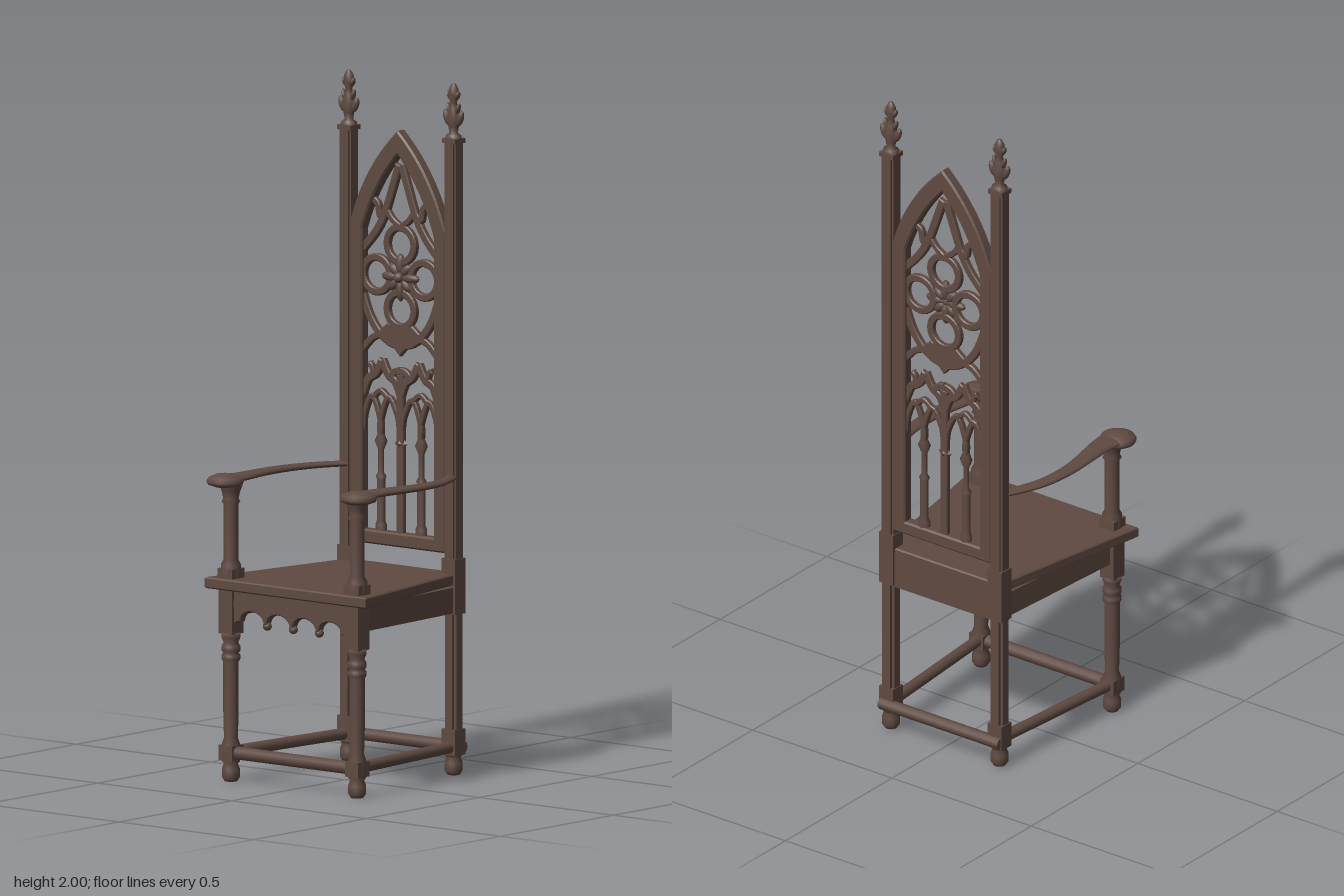
import * as THREE from 'three';

export function createModel() {
  const chair = new THREE.Group();
  chair.name = 'gothicArmchair';
  const wood = new THREE.MeshStandardMaterial({ name: 'darkWood', color: 0x5f4a41 });
  wood.side = THREE.DoubleSide;
  const V2 = (a) => new THREE.Vector2(a[0], a[1]);
  const V3 = (a) => new THREE.Vector3(...a);

  const add = (name, geo, x = 0, y = 0, z = 0, parent = chair) => {
    const m = new THREE.Mesh(geo, wood);
    m.name = name;
    m.position.set(x, y, z);
    parent.add(m);
    return m;
  };
  const box = (name, w, h, d, x, y, z) => add(name, new THREE.BoxGeometry(w, h, d), x, y, z);
  const lathe = (pts, n = 20) => new THREE.LatheGeometry(pts.map(V2), n);
  // bar running between two points, square or round
  const bar = (name, a, b, w, h, round) => {
    const p = V3(a), q = V3(b), len = p.distanceTo(q);
    const geo = round ? new THREE.CylinderGeometry(w / 2, w / 2, len, 12).rotateX(Math.PI / 2)
      : new THREE.BoxGeometry(w, h, len);
    const m = add(name, geo);
    m.position.copy(p).add(q).multiplyScalar(0.5);
    m.lookAt(q);
    return m;
  };
  const extrude = (shape, depth, bevel = 0) => new THREE.ExtrudeGeometry(shape, {
    depth, curveSegments: 14, bevelEnabled: bevel > 0,
    bevelSize: bevel, bevelThickness: bevel, bevelOffset: -bevel, bevelSegments: 1,
  });

  // ---- seat and aprons
  const seatShape = new THREE.Shape([[-0.3, 0.265], [0.3, 0.265], [0.213, -0.228], [0.172, -0.228],
    [0.172, -0.265], [-0.172, -0.265], [-0.172, -0.228], [-0.213, -0.228]].map(V2));
  add('seat', extrude(seatShape, 0.024, 0.004).rotateX(Math.PI / 2), 0, 0.583, 0);
  box('backApron', 0.36, 0.11, 0.028, 0, 0.52, -0.252);

  const apron = new THREE.Shape();
  apron.moveTo(-0.215, 0.558);
  apron.lineTo(-0.215, 0.455);
  apron.lineTo(-0.197, 0.465);
  for (let i = 0; i < 4; i++) {
    const c = -0.1455 + i * 0.097;
    apron.lineTo(c - 0.043, 0.465);
    apron.absellipse(c, 0.465, 0.043, 0.033, Math.PI, 0, true);
  }
  apron.lineTo(0.197, 0.465);
  apron.lineTo(0.215, 0.455);
  apron.lineTo(0.215, 0.558);
  add('scallopedApron', extrude(apron, 0.02, 0.003), 0, 0, 0.218);
  box('apronMoulding', 0.42, 0.018, 0.008, 0, 0.515, 0.24);
  for (let i = -1; i <= 1; i++) add('apronPendant', new THREE.SphereGeometry(0.013, 10, 8), i * 0.097, 0.461, 0.228);

  // ---- profiles shared by both sides
  const legProfile = [[0, 0], [0.018, 0], [0.026, 0.012], [0.026, 0.035], [0.02, 0.05], [0.026, 0.058],
    [0.026, 0.108], [0.02, 0.125], [0.022, 0.2], [0.022, 0.345], [0.027, 0.352], [0.027, 0.364], [0.022, 0.37],
    [0.027, 0.377], [0.027, 0.39], [0.021, 0.4], [0.027, 0.415], [0.027, 0.43], [0.0, 0.43]];
  const armPostProfile = [[0.029, 0.585], [0.029, 0.625], [0.021, 0.64], [0.021, 0.8], [0.027, 0.807],
    [0.022, 0.816], [0.026, 0.835], [0.034, 0.856]];
  const knobProfile = [[0, 0.849], [0.03, 0.85], [0.05, 0.857], [0.054, 0.866], [0.048, 0.876], [0.028, 0.885], [0, 0.888]];
  const finialProfile = [[0.024, 1.838], [0.024, 1.85], [0.013, 1.857], [0.016, 1.875], [0.022, 1.9], [0.014, 1.93],
    [0.01, 1.945], [0.018, 1.965], [0.014, 1.985], [0.007, 1.998], [0, 2]];

  // notched square section for the back posts
  const postGeo = (w, d, n, h) => {
    const a = w / 2, b = d / 2;
    const pts = [[a, b - n], [a - n, b - n], [a - n, b]];
    const quad = [...pts, ...pts.map(([x, y]) => [-x, y]).reverse()];
    const all = [...quad, ...quad.map(([x, y]) => [-x, -y])];
    return extrude(new THREE.Shape(all.map(V2)), h).rotateX(-Math.PI / 2);
  };

  for (const s of [1, -1]) {
    // front leg and arm post
    const fx = s * 0.235, fz = 0.225, bx = s * 0.195, bz = -0.25;
    add('frontLeg', lathe(legProfile), fx, 0, fz);
    box('frontLegBlock', 0.05, 0.13, 0.05, fx, 0.492, fz);
    box('frontLegJoint', 0.05, 0.044, 0.05, fx, 0.083, fz);
    add('armPost', lathe(armPostProfile), fx, 0, fz);
    box('armPostBase', 0.055, 0.03, 0.055, fx, 0.6, fz);
    add('armKnob', lathe(knobProfile, 28), s * 0.248, 0, 0.235);

    // curved arm, widening towards the front
    const path = new THREE.CatmullRomCurve3([[0.19, 0.864, -0.25], [0.222, 0.865, -0.19], [0.25, 0.866, -0.11],
      [0.26, 0.868, -0.01], [0.254, 0.87, 0.08], [0.245, 0.871, 0.16], [0.246, 0.871, 0.235]]
      .map(([x, y, z]) => new THREE.Vector3(s * x, y, z)));
    const N = 32, R = 14;
    const arm = new THREE.TubeGeometry(path, N, 1, R);
    const p = arm.attributes.position;
    for (let i = 0; i <= N; i++) {
      const t = i / N, c = path.getPointAt(t);
      const w = 0.018 + 0.008 * t + 0.018 * t ** 4, h = 0.008 + 0.004 * t;
      for (let j = 0; j <= R; j++) {
        const k = i * (R + 1) + j;
        p.setXYZ(k, c.x + (p.getX(k) - c.x) * w, c.y + (p.getY(k) - c.y) * h, c.z + (p.getZ(k) - c.z) * w);
      }
    }
    arm.computeVertexNormals();
    add('arm', arm);

    // back post with its foot and heavier lower part
    add('backPost', postGeo(0.043, 0.043, 0.006, 1.24), bx, 0.6, bz);
    add('backLeg', postGeo(0.044, 0.044, 0.009, 0.42), bx, 0.1, bz);
    box('backLegJoint', 0.05, 0.075, 0.046, bx, 0.1, bz);
    box('backSeatJoint', 0.05, 0.16, 0.048, bx, 0.55, bz);
    add('backFoot', lathe(legProfile.slice(0, 6)), bx, 0.005, bz);
    box('postCap', 0.05, 0.014, 0.045, bx, 1.835, bz);

    // finial with flat side leaves
    const finial = add('finial', lathe(finialProfile, 14), bx, 0, bz);
    finial.scale.z = 0.85;
    for (const d of [1, -1]) {
      for (const [x, y, r, l] of [[0.024, 1.9, 0.011, 0.024], [0.015, 1.925, 0.007, 0.02], [0.014, 1.965, 0.007, 0.014]]) {
        const leaf = add('finialLeaf', new THREE.SphereGeometry(1, 10, 8), d * x, y, 0, finial);
        leaf.scale.set(r, l, 0.012);
        leaf.rotation.z = -d * 0.35;
      }
    }

    // side apron and stretcher
    bar('sideApron', [s * 0.237, 0.515, 0.22], [s * 0.2, 0.511, -0.24], 0.024, 0.074);
    bar('sideStretcher', [fx, 0.085, fz], [bx, 0.085, bz], 0.034, 0.034, true);
  }
  bar('frontStretcher', [-0.235, 0.083, 0.225], [0.235, 0.083, 0.225], 0.038, 0.038, true);
  bar('backStretcher', [-0.215, 0.083, -0.27], [0.215, 0.083, -0.27], 0.036, 0.036, true);

  // ---- pointed back frame
  const lancet = (path, w, y0, y1, c, apex) => {
    path.moveTo(-w, y0);
    path.lineTo(w, y0);
    path.lineTo(w, y1);
    path.quadraticCurveTo(c[0], c[1], 0, apex);
    path.quadraticCurveTo(-c[0], c[1], -w, y1);
    path.closePath();
    return path;
  };
  const frame = lancet(new THREE.Shape(), 0.177, 0.643, 1.57, [0.125, 1.735], 1.845);
  frame.holes.push(lancet(new THREE.Path(), 0.133, 0.683, 1.55, [0.09, 1.68], 1.775));
  add('backFrame', extrude(frame, 0.026, 0.005), 0, 0, -0.262);

  // ---- tracery
  const tracery = new THREE.Group();
  tracery.name = 'tracery';
  tracery.position.z = -0.25;
  chair.add(tracery);
  const rib = (name, pts, w) => {
    const curve = new THREE.SplineCurve(pts.map(V2));
    const left = [], right = [];
    for (let i = 0; i <= 18; i++) {
      const q = curve.getPoint(i / 18), t = curve.getTangent(i / 18);
      left.push(new THREE.Vector2(q.x - t.y * w / 2, q.y + t.x * w / 2));
      right.unshift(new THREE.Vector2(q.x + t.y * w / 2, q.y - t.x * w / 2));
    }
    add(name, extrude(new THREE.Shape([...left, ...right]), 0.012, 0.003), 0, 0, -0.006, tracery);
  };
  const ring = (name, x, y, r, w) => {
    const shape = new THREE.Shape().absarc(x, y, r + w / 2, 0, Math.PI * 2);
    shape.holes.push(new THREE.Path().absarc(x, y, r - w / 2, 0, Math.PI * 2));
    add(name, extrude(shape, 0.012, 0.003), 0, 0, -0.006, tracery);
  };

  // rose of four rings with a flower at its centre
  const cy = 1.42;
  for (let i = 0; i < 4; i++) {
    const a = i * Math.PI / 2;
    ring('roseRing', Math.cos(a) * 0.088, cy + Math.sin(a) * 0.094, 0.05, 0.022);
  }
  for (let i = 0; i < 8; i++) {
    const a = i * Math.PI / 4, r = i % 2 ? 0.03 : 0.036;
    const petal = add('rosePetal', new THREE.SphereGeometry(1, 10, 8), Math.cos(a) * r, cy + Math.sin(a) * r, 0.003, tracery);
    petal.scale.set(i % 2 ? 0.024 : 0.034, 0.014, 0.013);
    petal.rotation.z = a;
  }
  add('roseButton', new THREE.SphereGeometry(0.016, 14, 10), 0, cy, 0.01, tracery);

  // solid pointed web under the rose
  const web = new THREE.Shape([[-0.075, 1.262], [-0.05, 1.22], [-0.02, 1.212], [0, 1.192], [0.02, 1.212], [0.05, 1.22],
    [0.075, 1.262], [0.045, 1.285], [0, 1.272], [-0.045, 1.285]].map(V2));
  add('roseWeb', extrude(web, 0.012, 0.003), 0, 0, -0.006, tracery);

  const column = [[0.018, 0.68], [0.018, 0.7], [0.013, 0.71], [0.013, 0.83], [0.017, 0.838], [0.009, 0.85],
    [0.009, 0.915], [0.02, 0.94], [0.009, 0.965], [0.01, 1.0]];
  for (const s of [1, -1]) {
    const m = (pts) => pts.map(([x, y]) => [s * x, y]);
    // upper struts and cusps
    rib('upperStrut', m([[0.005, 1.745], [0.03, 1.675], [0.058, 1.6], [0.09, 1.545], [0.14, 1.49]]), 0.024);
    rib('upperCusp', m([[0.05, 1.615], [0.075, 1.59], [0.085, 1.625], [0.11, 1.64]]), 0.02);
    rib('innerCusp', m([[0.05, 1.61], [0.03, 1.585], [0, 1.565]]), 0.018);
    // lower curve sweeping from frame to web
    rib('lowerStrut', m([[0.14, 1.36], [0.115, 1.3], [0.08, 1.255], [0.045, 1.232]]), 0.024);
    rib('lowerBranch', m([[0.07, 1.25], [0.105, 1.235], [0.14, 1.2]]), 0.02);
    // wide cusped arch over each pair of lancets
    rib('ogeeOuter', m([[0.14, 1.07], [0.12, 1.115], [0.09, 1.135], [0.068, 1.175]]), 0.024);
    rib('ogeeInner', m([[0, 1.075], [0.018, 1.115], [0.045, 1.135], [0.068, 1.175]]), 0.024);
    rib('ogeeCusp', m([[0.1, 1.13], [0.108, 1.155], [0.118, 1.16]]), 0.016);
    rib('centreCusp', m([[0.036, 1.13], [0.02, 1.145], [0, 1.15]]), 0.022);
    // lancets and colonnette
    rib('lancetOuter', m([[0.138, 0.97], [0.132, 1.02], [0.105, 1.07], [0.075, 1.0], [0.075, 0.95]]), 0.016);
    rib('lancetInner', m([[0.075, 0.95], [0.075, 1.0], [0.045, 1.07], [0.012, 1.02], [0.004, 0.97]]), 0.016);
    rib('lancetCrown', m([[0.1, 1.065], [0.085, 1.08], [0.07, 1.085], [0.045, 1.065]]), 0.016);
    add('colonnette', lathe(column, 12), s * 0.075, 0, 0, tracery).scale.z = 0.8;
  }
  rib('mullion', [[0, 0.675], [0, 0.85], [0, 1.0], [0, 1.14]], 0.026);
  add('mullionBoss', new THREE.OctahedronGeometry(0.024), 0, 0.94, 0, tracery).scale.z = 0.6;
  return chair;
}
